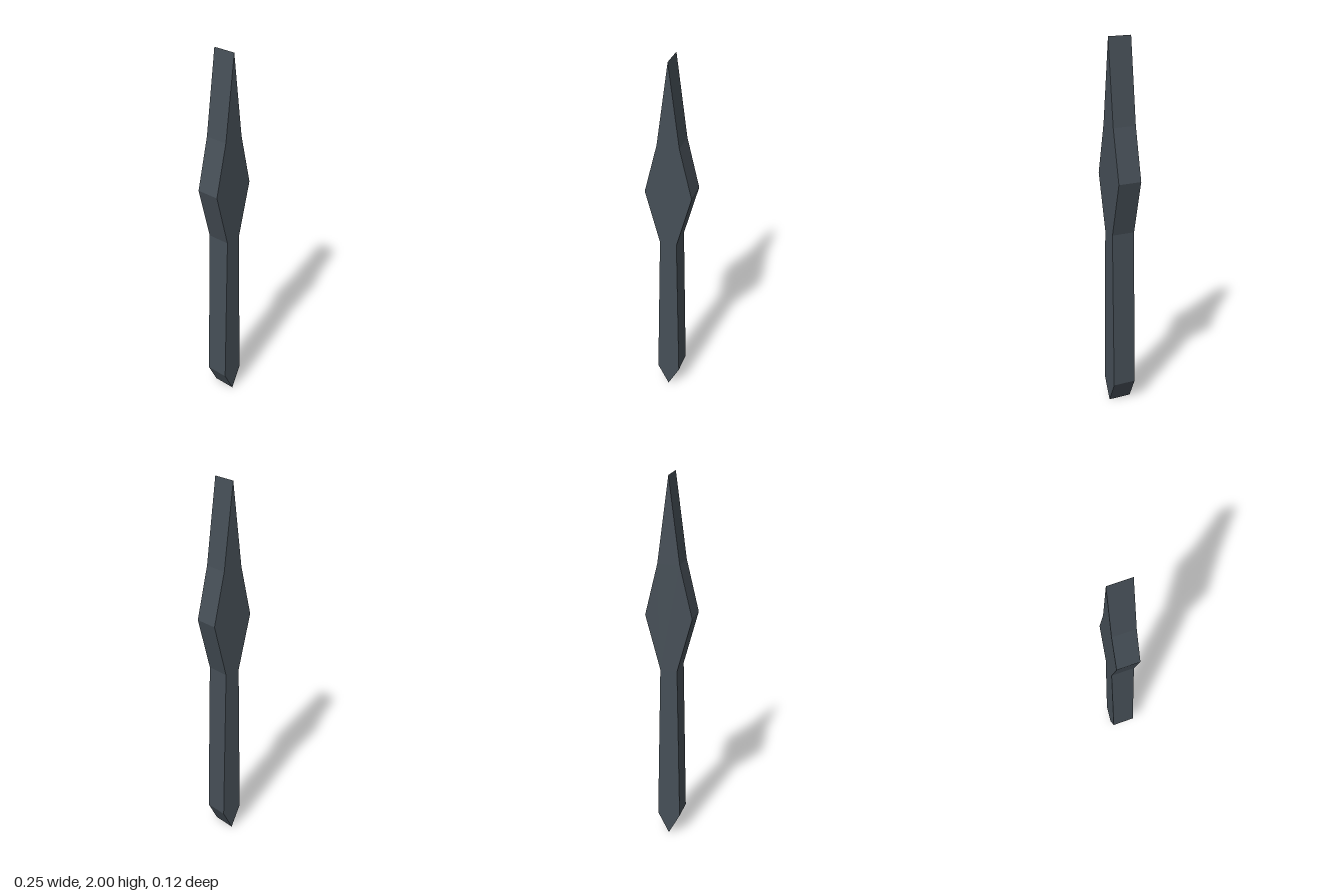
import * as THREE from 'three';

export function createModel() {
  const group = new THREE.Group();
  group.name = 'throwingKnife';

  const darkSteel = new THREE.MeshStandardMaterial({ color: 0x464f57 });
  darkSteel.name = 'darkSteel';

  // Half outline [half width, height], from pommel point to blade tip
  const half = [[0, 0], [0.062, 0.12], [0.045, 0.99], [0.124, 1.285], [0.058, 1.56], [0, 2]];
  const mirrored = half.slice(1, -1).reverse().map(([x, y]) => [-x, y]);
  const outline = new THREE.Shape([...half, ...mirrored].map(([x, y]) => new THREE.Vector2(x, y)));

  // Handle and blade are one flat piece of even thickness
  const depth = 0.124;
  const geometry = new THREE.ExtrudeGeometry(outline, { depth, bevelEnabled: false });
  geometry.translate(0, 0, -depth / 2);

  const knife = new THREE.Mesh(geometry, darkSteel);
  knife.name = 'bladeAndHandle';
  group.add(knife);
  return group;
}
